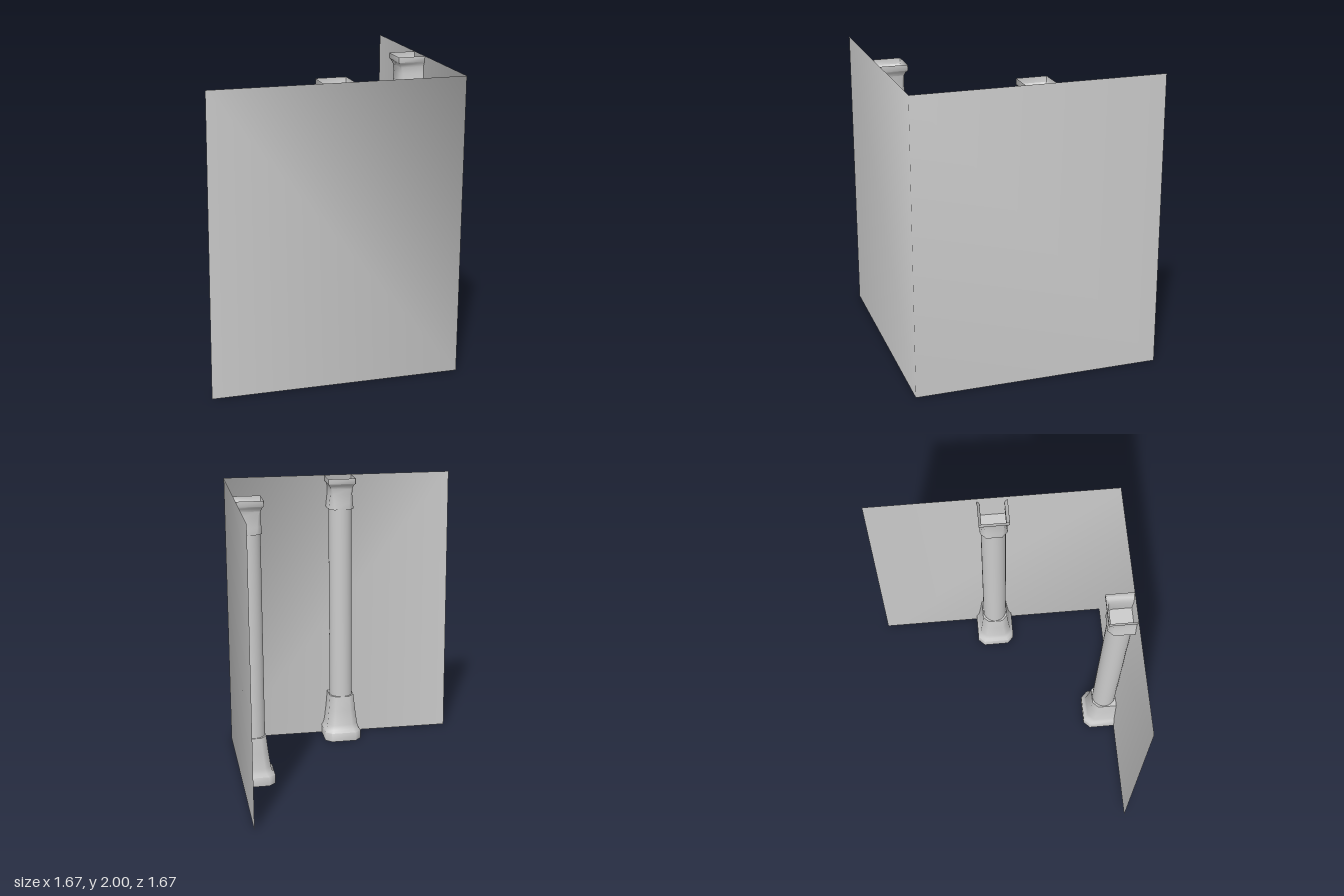
import * as THREE from 'three';
import { toCreasedNormals } from 'three/addons/utils/BufferGeometryUtils.js';

const H = 0.833; // half the side of the room corner
const mat = new THREE.MeshStandardMaterial({ color: 0xcccccc, side: THREE.DoubleSide });

function add(parent, geometry, name) {
  const mesh = new THREE.Mesh(geometry, mat);
  mesh.name = name;
  parent.add(mesh);
  return mesh;
}

function indexed(pos, idx) {
  const g = new THREE.BufferGeometry();
  g.setAttribute('position', new THREE.Float32BufferAttribute(pos, 3));
  g.setIndex(idx);
  g.computeVertexNormals();
  return g;
}

// Lofts U-shaped sections [y, halfWidth, depth, chamfer], open towards the wall at z = 0.
function loft(sections, cap) {
  const pos = [], idx = [], n = 6;
  for (const [y, w, d, c] of sections) {
    for (const [x, z] of [[-w, 0], [-w, d - c], [c - w, d], [w - c, d], [w, d - c], [w, 0]]) pos.push(x, y, -z);
  }
  for (let i = 0; i < sections.length - 1; i++) {
    for (let j = 0; j < n - 1; j++) {
      const a = i * n + j, b = a + 1, c = a + n, e = c + 1;
      idx.push(a, c, b, b, c, e);
    }
  }
  const top = (sections.length - 1) * n;
  for (let j = 1; j < n - 1; j++) {
    if (cap === 'top') idx.push(top, top + j + 1, top + j);
    else idx.push(0, j, j + 1);
  }
  return toCreasedNormals(indexed(pos, idx), 0.9);
}

function makeColumn(name) {
  const column = new THREE.Group();
  column.name = name;

  // Flared foot with a plinth, hollow below
  add(column, loft([
    [0, 0.135, 0.225, 0.045],
    [0.065, 0.135, 0.225, 0.045],
    [0.085, 0.122, 0.208, 0.045],
    [0.12, 0.113, 0.198, 0.045],
    [0.23, 0.1, 0.184, 0.042],
    [0.34, 0.09, 0.172, 0.04],
  ], 'top'), 'base');

  // Round shaft touching the wall
  const shaft = add(column, new THREE.CylinderGeometry(0.084, 0.084, 1.43, 32, 1, true), 'shaft');
  shaft.position.set(0, 0.34 + 1.43 / 2, -0.085);

  // Hollow capital with a waisted neck and a square rim
  add(column, loft([
    [1.77, 0.092, 0.174, 0.038],
    [1.82, 0.086, 0.17, 0.03],
    [1.88, 0.08, 0.165, 0.018],
    [1.925, 0.081, 0.166, 0.008],
    [1.945, 0.088, 0.173, 0.003],
    [1.96, 0.1, 0.185, 0.001],
    [1.998, 0.1, 0.185, 0.001],
  ], 'bottom'), 'capital');
  return column;
}

export function createModel() {
  const model = new THREE.Group();
  model.name = 'columnCorner';

  // Two walls sharing a softly shaded corner edge
  const pos = [];
  for (const [x, z] of [[-H, H], [H, H], [H, -H]]) pos.push(x, 0, z, x, 2, z);
  add(model, indexed(pos, [0, 2, 1, 1, 2, 3, 2, 4, 3, 3, 4, 5]), 'walls');

  // One column on the inner face of each wall
  const front = makeColumn('frontColumn');
  front.position.z = H;
  const side = makeColumn('sideColumn');
  side.position.x = H;
  side.rotation.y = Math.PI / 2;
  model.add(front, side);
  return model;
}
